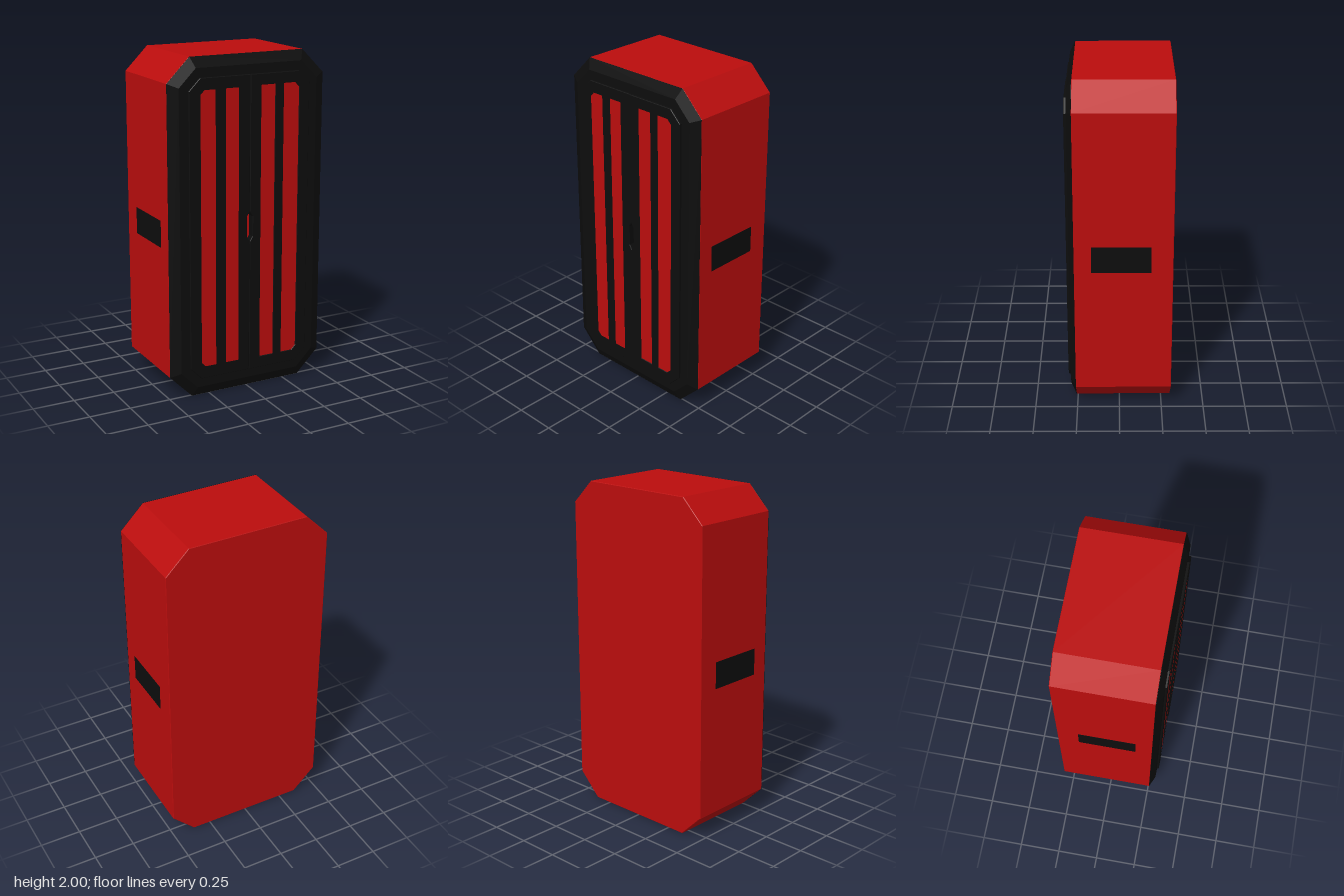
import * as THREE from 'three';

const RED = new THREE.MeshStandardMaterial({ color: 0xbb0d0d });
const BLACK = new THREE.MeshStandardMaterial({ color: 0x0d0d0d });
const MID = 1; // height of the cabinet's centre

// Closed outline from [x, y] pairs; s = -1 mirrors it
const outline = (pts, s = 1, Type = THREE.Shape) =>
  new Type(pts.map(([x, y]) => new THREE.Vector2(x * s, y)));

// Octagon: a rectangle of half size w x h with corners cut by c
const octagon = (w, h, c) => [
  [w, -h + c], [w, h - c], [w - c, h], [-w + c, h],
  [-w, h - c], [-w, -h + c], [-w + c, -h], [w - c, -h],
];

// Extrusion between z0 and z1 whose edges are bevelled inward by size b, depth t
function slab(name, shape, z0, z1, material, b = 0, t = b) {
  const geo = new THREE.ExtrudeGeometry(shape, {
    depth: z1 - z0 - 2 * t, bevelEnabled: b > 0, bevelSegments: 1,
    bevelSize: b, bevelThickness: t, bevelOffset: -b,
  });
  geo.translate(0, MID, z0 + t);
  const mesh = new THREE.Mesh(geo, material);
  mesh.name = name;
  return mesh;
}

export function createModel() {
  const model = new THREE.Group();
  model.name = 'cabinet';

  // Red casing with cut corners
  model.add(slab('casing', outline(octagon(0.5, 1, 0.14)), -0.305, 0.26, RED, 0.003));

  // Black sloping frame around the doors
  const frame = outline(octagon(0.5, 1, 0.14));
  frame.holes.push(outline(octagon(0.3, 0.82, 0.06), 1, THREE.Path));
  model.add(slab('frontFrame', frame, 0.229, 0.29, BLACK, 0.06, 0.03));

  for (const s of [1, -1]) {
    const side = s > 0 ? 'left' : 'right';
    const door = new THREE.Group();
    door.name = side + 'Door';
    const front = s > 0 ? 0.305 : 0.302;

    // Door leaf with half of the central hole cut in its inner edge
    const leaf = outline([
      [0, -0.885], [0.315, -0.885], [0.385, -0.815], [0.385, 0.815], [0.315, 0.885],
      [0, 0.885], [0, 0.09], [0.018, 0.06], [0.018, -0.06], [0, -0.09],
    ], s);
    const strips = [
      [[0.07, -0.815], [0.16, -0.815], [0.16, 0.82], [0.07, 0.82]],
      [[0.217, -0.815], [0.29, -0.815], [0.317, -0.788], [0.317, 0.793], [0.29, 0.82], [0.217, 0.82]],
    ];
    strips.forEach((p) => leaf.holes.push(outline(p, s, THREE.Path)));
    door.add(slab('doorLeaf', leaf, 0.255, front, BLACK, 0.003));

    // Red strips set into the leaf
    strips.forEach((p) => door.add(slab('doorStrip', outline(p, s), 0.26, front - 0.003, RED)));
    model.add(door);

    // Dark vent on the side wall
    const vent = new THREE.Mesh(new THREE.BoxGeometry(0.02, 0.16, 0.34), BLACK);
    vent.position.set(s * 0.491, 0.985, -0.01);
    vent.name = side + 'SideVent';
    model.add(vent);
  }
  return model;
}
